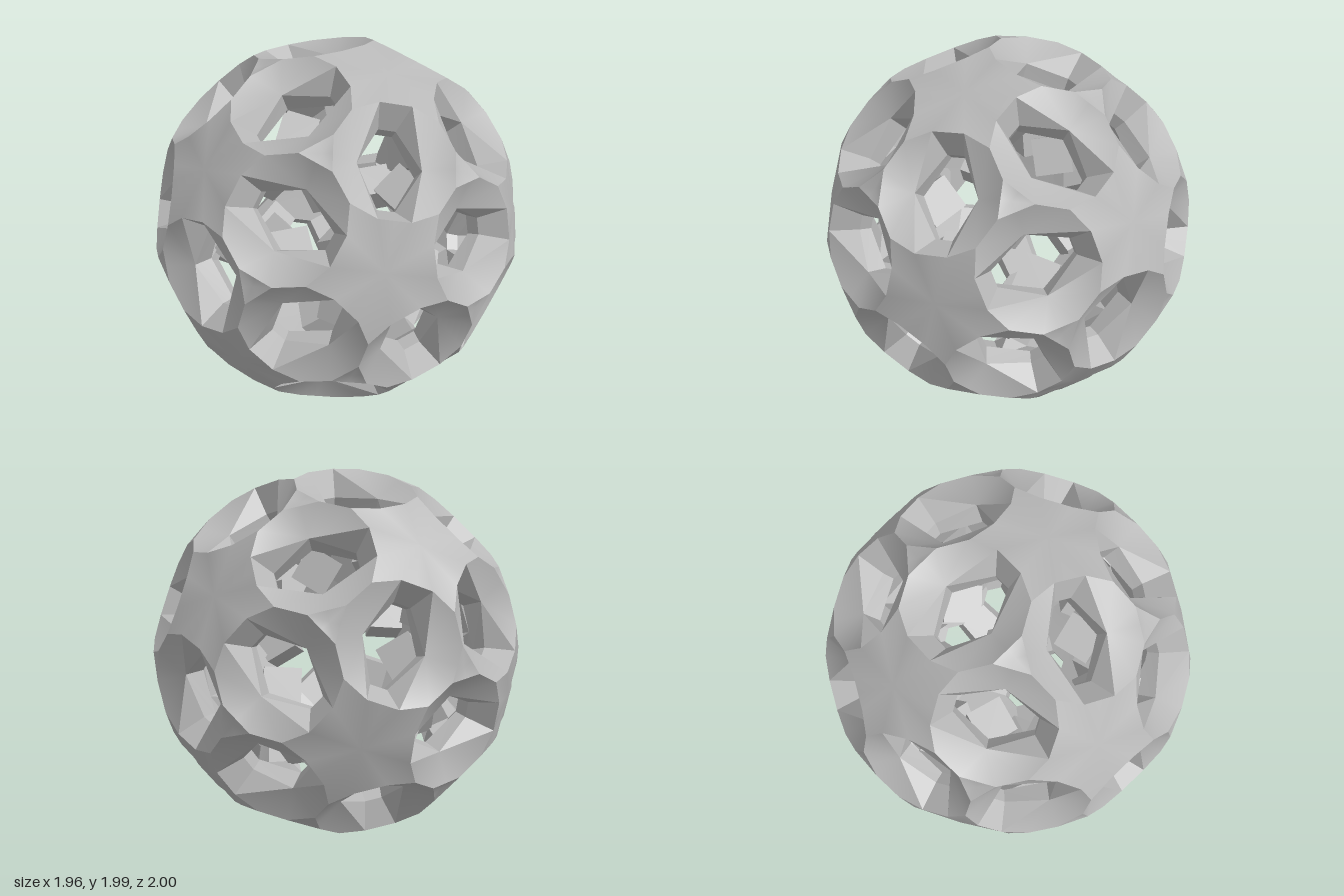
import * as THREE from 'three';
import { mergeGeometries, toCreasedNormals } from 'three/addons/utils/BufferGeometryUtils.js';

const V = (x, y, z) => new THREE.Vector3(x, y, z);
const PHI = (1 + Math.sqrt(5)) / 2;

// Axes of the 12 star panels (icosahedron corners)
function starAxes() {
  const out = [];
  for (const a of [-1, 1]) for (const b of [-PHI, PHI])
    out.push(V(a, 0, b), V(b, a, 0), V(0, b, a));
  return out.map(p => p.normalize());
}

const adjacent = (a, b) => a !== b && a.dot(b) > 0.4;

// One frame for each of the 30 holes: z = hole axis, x = towards a star
function holeFrames() {
  const s = starAxes(), frames = [];
  s.forEach((a, i) => s.slice(i + 1).filter(b => adjacent(a, b)).forEach(b => {
    const n = a.clone().add(b).normalize();
    const u = a.clone().sub(b).normalize();
    frames.push(new THREE.Matrix4().makeBasis(u, n.clone().cross(u), n));
  }));
  return frames;
}

// One frame for each of the 20 blocks: a corner points inwards, its edges towards the three holes
function blockFrames(radius) {
  const s = starAxes(), frames = [];
  for (let i = 0; i < 12; i++) for (let j = i + 1; j < 12; j++) for (let k = j + 1; k < 12; k++) {
    if (!adjacent(s[i], s[j]) || !adjacent(s[j], s[k]) || !adjacent(s[i], s[k])) continue;
    const n = s[i].clone().add(s[j]).add(s[k]).normalize();
    const axes = [s[i], s[j], s[k]].map(a => n.clone().multiplyScalar(a.dot(n)).sub(a).normalize()
      .multiplyScalar(Math.sqrt(2 / 3)).addScaledVector(n, Math.sqrt(1 / 3)));
    if (axes[0].clone().cross(axes[1]).dot(axes[2]) < 0) axes.reverse();
    frames.push(new THREE.Matrix4().makeBasis(...axes).setPosition(n.multiplyScalar(radius)));
  }
  return frames;
}

// Triangles of a quarter cell, mirrored over x and y and turned to agree with a facing rule
function surface(tris, facing) {
  const pos = [];
  for (const sx of [1, -1]) for (const sy of [1, -1]) for (const tri of tris) {
    const [a, b, c] = tri.map(p => V(p.x * sx, p.y * sy, p.z));
    const n = b.clone().sub(a).cross(c.clone().sub(a));
    const mid = a.clone().add(b).add(c).divideScalar(3);
    const order = n.dot(facing(mid)) > 0 ? [a, b, c] : [a, c, b];
    for (const p of order) pos.push(p.x, p.y, p.z);
  }
  const g = new THREE.BufferGeometry();
  g.setAttribute('position', new THREE.Float32BufferAttribute(pos, 3));
  return g;
}

export function createModel() {
  const group = new THREE.Group();
  const material = new THREE.MeshStandardMaterial({ color: 0xb8b8b8 });
  material.name = 'light grey';

  // Quarter of a hole: twelve-sided rim, six-sided throat and inner edge
  const rimPoint = (deg, r) => V(r * Math.cos(deg * Math.PI / 180), r * Math.sin(deg * Math.PI / 180), 0.948);
  const rim = [rimPoint(16, 0.302), rimPoint(43.28, 0.319), rimPoint(73.28, 0.319)];
  const end = V(0.205, 0.045, 0.82), apex = V(0, 0.165, 0.865);
  const innerEnd = V(0.205, 0.05, 0.75), innerApex = V(0, 0.165, 0.76);
  const onX = p => V(p.x, 0, p.z), onY = p => V(0, p.y, p.z);

  // Panel centres, and the plane halfway to the next hole
  const starDir = V(1, 0, PHI).normalize();
  const triDir = V(0, 1 / PHI, PHI).normalize();
  const toNeighbour = V(-1 / (2 * PHI), -0.5, 1 - PHI / 2).normalize();
  const seam = p => p.clone().addScaledVector(toNeighbour, -p.dot(toNeighbour));
  const starOut = starDir.clone().multiplyScalar(0.972), starIn = starDir.clone().multiplyScalar(0.76);
  const triOut = triDir.clone().multiplyScalar(0.985), triIn = triDir.clone().multiplyScalar(0.7);

  const stars = [[starOut, rim[0], rim[1]], [starOut, onX(rim[0]), rim[0]]];
  const triangles = [[triOut, rim[2], onY(rim[2])]];
  const crescents = [[apex, rim[0], rim[1]], [apex, rim[1], rim[2]], [apex, rim[2], onY(rim[2])]];
  const throat = [
    [rim[0], apex, end], [rim[0], end, onX(end)], [rim[0], onX(end), onX(rim[0])],
    [apex, end, innerEnd], [apex, innerEnd, innerApex],
    [end, onX(end), onX(innerEnd)], [end, onX(innerEnd), innerEnd],
  ];
  const skin = [
    [starIn, onX(innerEnd), innerEnd], [starIn, innerEnd, seam(innerEnd)],
    [innerEnd, innerApex, seam(innerApex)], [innerEnd, seam(innerApex), seam(innerEnd)],
    [triIn, innerApex, seam(innerApex)],
  ];

  // Repeat each part around the ball
  const outward = p => p.clone();
  const inward = p => p.clone().negate();
  const toAxis = p => V(-p.x, -p.y, 0);
  const holes = holeFrames();
  const parts = [
    ['starPanels', surface(stars, outward), 1, holes],
    ['trianglePanels', surface(triangles, outward), 1, holes],
    ['holeCrescents', surface(crescents, toAxis), 0.75, holes],
    ['throatWalls', surface(throat, toAxis), 0.1, holes],
    ['innerSkin', surface(skin, inward), 0.1, holes],
    ['innerBlocks', new THREE.BoxGeometry(0.19, 0.19, 0.19), 0.1, blockFrames(0.56)],
  ];
  const ball = new THREE.Group();
  ball.name = 'piercedBall';
  for (const [name, cell, crease, frames] of parts) {
    const all = mergeGeometries(frames.map(m => cell.clone().applyMatrix4(m)));
    const mesh = new THREE.Mesh(toCreasedNormals(all, crease), material);
    mesh.name = name;
    ball.add(mesh);
  }

  // Tilt of the ball
  const front = V(0.121, 0.237, 0.964).normalize();
  const top = front.clone().cross(V(0.993, -0.06, -0.1)).normalize();
  const side = top.clone().cross(front);
  ball.quaternion.setFromRotationMatrix(new THREE.Matrix4().makeBasis(side, top, front));
  ball.position.y = 1;
  group.add(ball);
  return group;
}
